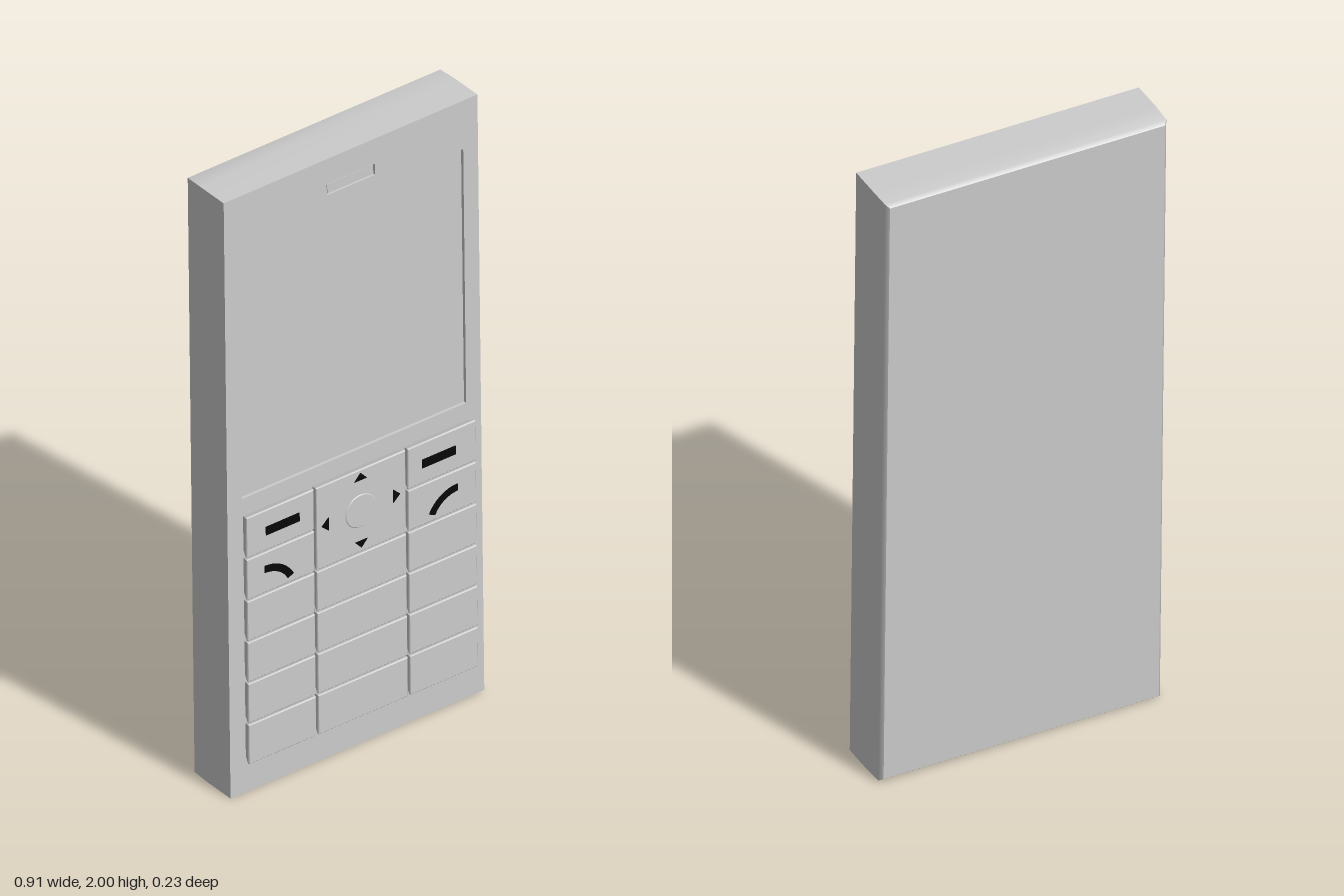
import * as THREE from 'three';

const W = 0.894, H = 1.992, FRONT = 0.09, RECESS = 0.012;
const grey = new THREE.MeshStandardMaterial({ color: 0xcccccc });
const black = new THREE.MeshStandardMaterial({ color: 0x080808 });

function rect(path, x0, y0, x1, y1) {
  path.moveTo(x0, y0);
  path.lineTo(x1, y0);
  path.lineTo(x1, y1);
  path.lineTo(x0, y1);
  path.closePath();
  return path;
}

// Box whose layers through the depth are given as [z, inset] pairs, back to front
function layeredBox(w, h, layers) {
  const n = layers.length - 1;
  const geo = new THREE.BoxGeometry(w, h, 1, 1, 1, n);
  const p = geo.attributes.position;
  for (let i = 0; i < p.count; i++) {
    const [z, inset] = layers[Math.round((p.getZ(i) + 0.5) * n)];
    p.setXYZ(i, p.getX(i) - Math.sign(p.getX(i)) * inset, p.getY(i) - Math.sign(p.getY(i)) * inset, z);
  }
  geo.computeVertexNormals();
  return geo;
}

export function createModel() {
  const model = new THREE.Group();
  model.name = 'mobilePhone';
  // Parts are laid out with y measured from the foot, then set in a slightly leaning group
  const phone = new THREE.Group();
  phone.name = 'phone';
  phone.position.set(0, 1, -0.012);
  phone.rotation.set(-0.008, -0.006, 0.006);
  model.add(phone);

  function add(name, geo, x, y, z, mat = grey) {
    const mesh = new THREE.Mesh(geo, mat);
    mesh.name = name;
    mesh.position.set(x, y - 1, z);
    phone.add(mesh);
    return mesh;
  }
  const flat = (shape, depth) => new THREE.ExtrudeGeometry(shape, { depth, bevelEnabled: false, curveSegments: 16 });

  // Case with softened back edge
  add('case', layeredBox(W, H, [[-0.09, 0.012], [-0.078, 0.002], [-0.015, 0], [FRONT - RECESS, 0]]), 0, 1, 0);

  // Front cover with openings for the screen and the earpiece
  const cover = rect(new THREE.Shape(), -W / 2, -H / 2, W / 2, H / 2);
  cover.holes.push(rect(new THREE.Path(), -0.395, -0.015, 0.395, 0.835));
  cover.holes.push(rect(new THREE.Path(), -0.085, 0.875, 0.085, 0.912));
  add('frontCover', flat(cover, RECESS), 0, 1, FRONT - RECESS);

  // Screen glass and earpiece grille fill the openings just below the surface
  add('screen', new THREE.BoxGeometry(0.784, 0.844, 0.012), 0, 1.41, FRONT - 0.012);
  add('earpiece', new THREE.BoxGeometry(0.162, 0.03, 0.014), 0, 1.8935, FRONT - 0.01);

  // Keys flare outward from the case and have a softened front edge
  const KEY = 0.028;
  const addKey = (name, x0, x1, y0, y1) => add(name,
    layeredBox(x1 - x0 - 0.006, y1 - y0 - 0.006, [[-0.004, 0.012], [KEY - 0.008, 0.002], [KEY - 0.003, 0], [KEY, 0.003]]),
    (x0 + x1) / 2, (y0 + y1) / 2, FRONT);

  const columns = [-0.405, -0.16, 0.163, 0.41];
  for (let row = 0; row < 4; row++) {
    for (let col = 0; col < 3; col++) {
      const y = 0.11 + row * 0.1375;
      addKey('numberKey', columns[col], columns[col + 1], y, y + 0.1375);
    }
  }
  for (const col of [0, 2]) {
    addKey('callKey', columns[col], columns[col + 1], 0.66, 0.8);
    addKey('softKey', columns[col], columns[col + 1], 0.8, 0.94);
  }
  addKey('navigationPad', columns[1], columns[2], 0.66, 0.94);

  // Round select button in the middle of the pad
  const top = FRONT + KEY;
  const button = add('selectButton', new THREE.CylinderGeometry(0.052, 0.056, 0.004, 32), 0, 0.8, top);
  button.rotation.x = Math.PI / 2;

  // Direction arrows around the pad
  const arrow = new THREE.Shape();
  arrow.moveTo(-0.022, -0.011);
  arrow.lineTo(0.022, -0.011);
  arrow.lineTo(0, 0.013);
  arrow.closePath();
  for (let i = 0; i < 4; i++) {
    const a = i * Math.PI / 2;
    const mesh = add('directionArrow', flat(arrow, 0.002), -Math.sin(a) * 0.125, 0.802 + Math.cos(a) * 0.112, top, black);
    mesh.rotation.z = a;
  }

  // Dash and handset marks on the side keys
  for (const side of [-1, 1]) {
    add('softKeyMark', new THREE.BoxGeometry(0.118, 0.028, 0.003), side * 0.275, 0.868, top + 0.001, black);
    const mark = new THREE.Shape();
    const cx = side * 0.34, cy = 0.64;
    const a0 = side < 0 ? 0.46 : Math.PI - 0.46, a1 = Math.PI / 2;
    mark.absarc(cx, cy, 0.113, a0, a1, side > 0);
    mark.absarc(cx, cy, 0.09, a1, a0, side < 0);
    add('callKeyMark', flat(mark, 0.002), 0, 0, top, black).position.y = -1;
  }
  return model;
}
